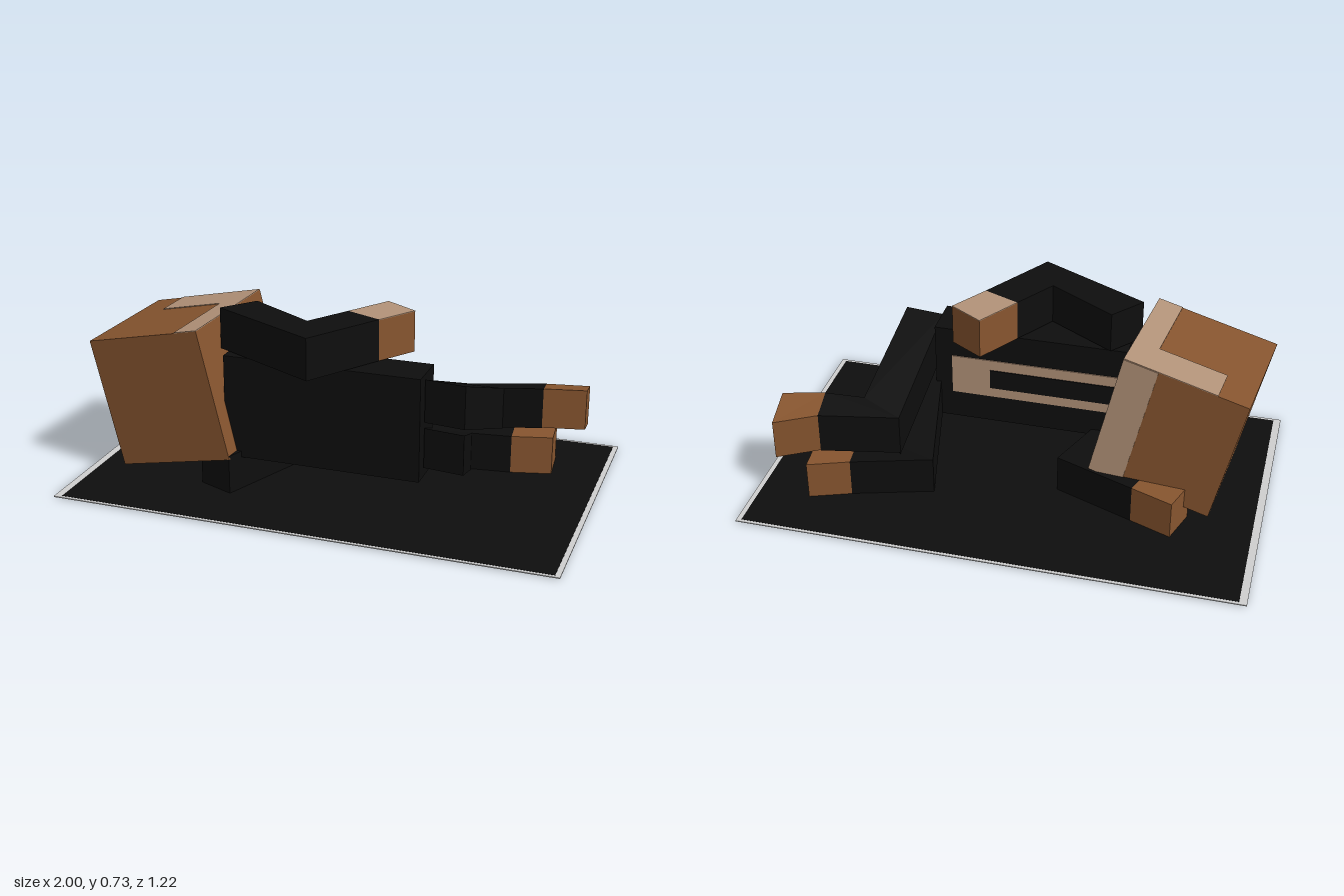
import * as THREE from 'three';

const mat = (name, color, opts = {}) => {
  const m = new THREE.MeshStandardMaterial({ color, ...opts });
  m.name = name;
  return m;
};

// Prism standing under a top outline of [x, yTop, z] points, h thick
function slabGeometry(points, h) {
  const flat = (p) => new THREE.Vector2(p[0], -p[2]);
  const pts = THREE.ShapeUtils.area(points.map(flat)) < 0 ? [...points].reverse() : points;
  const pos = [];
  const put = (i, drop) => pos.push(pts[i][0], pts[i][1] - drop, pts[i][2]);
  for (const [a, b, c] of THREE.ShapeUtils.triangulateShape(pts.map(flat), [])) {
    put(a, 0); put(b, 0); put(c, 0);
    put(a, h); put(c, h); put(b, h);
  }
  for (let i = 0; i < pts.length; i++) {
    const j = (i + 1) % pts.length;
    put(i, h); put(j, h); put(j, 0);
    put(i, h); put(j, 0); put(i, 0);
  }
  const g = new THREE.BufferGeometry();
  g.setAttribute('position', new THREE.Float32BufferAttribute(pos, 3));
  g.computeVertexNormals();
  return g;
}

export function createModel() {
  const black = mat('black', 0x0e0e0e);
  const brown = mat('brown', 0x87552f);
  const tan = mat('tan', 0xb39379);
  const grey = mat('grey', 0xcfcfcf);
  const model = new THREE.Group();
  model.name = 'lyingFigure';

  const add = (parent, name, geometry, material) => {
    const m = new THREE.Mesh(geometry, material);
    m.name = name;
    parent.add(m);
    return m;
  };
  // Box given by its minimum and maximum corners
  const box = (parent, name, material, a, b) => {
    const m = add(parent, name, new THREE.BoxGeometry(b[0] - a[0], b[1] - a[1], b[2] - a[2]), material);
    m.position.set((a[0] + b[0]) / 2, (a[1] + b[1]) / 2, (a[2] + b[2]) / 2);
    return m;
  };
  const slab = (name, material, points, h) => add(model, name, slabGeometry(points, h), material);
  const level = (y, outline) => outline.map(([x, z]) => [x, y, z]);

  // Ground mat with a pale rim
  box(model, 'matRim', grey, [-1, 0.003, -0.61], [1, 0.007, 0.61]);
  box(model, 'matField', black, [-0.97, 0.002, -0.597], [0.98, 0.008, 0.597]);

  // Torso lying on its side, with a chest panel facing back
  box(model, 'torso', black, [-0.4, 0.14, 0.12], [0.39, 0.555, 0.295]);
  box(model, 'chestPanel', tan, [-0.4, 0.26, 0.116], [0.32, 0.432, 0.12]);
  box(model, 'chestPanelCentre', black, [-0.4, 0.303, 0.112], [0.16, 0.387, 0.116]);

  // Tilted head with thin lighter strips on its top and back
  const head = new THREE.Group();
  head.name = 'head';
  const X = new THREE.Vector3(0.97, 0.22, 0.1).normalize();
  const Z = new THREE.Vector3().crossVectors(X, new THREE.Vector3(-0.21, 0.975, 0.02)).normalize();
  const Y = new THREE.Vector3().crossVectors(Z, X);
  head.quaternion.setFromRotationMatrix(new THREE.Matrix4().makeBasis(X, Y, Z));
  head.position.set(-0.635, 0.365, 0.085);
  model.add(head);
  const [w, h, d] = [0.25, 0.265, 0.258];
  box(head, 'headBlock', brown, [-w, -h, -d], [w, h, d]);
  box(head, 'topStrip', tan, [0.15, h, -d], [w, h + 0.003, d]);
  box(head, 'topBackStrip', tan, [-0.125, h, -d], [0.15, h + 0.003, -0.1]);
  box(head, 'backStrip', tan, [0.11, -h, -d - 0.003], [w, h, -d]);

  // Upper arm, bent at a right angle across the front
  const upperHand = [[0.043, 0.107], [0.15, -0.062], [0.283, 0.02], [0.187, 0.168]];
  slab('upperArm', black, level(0.725, [
    [-0.436, 0.232], [-0.333, 0.105], [-0.062, 0.272], [0.043, 0.107], [0.187, 0.168], [0.005, 0.462],
  ]), 0.165);
  slab('upperHand', brown, level(0.722, upperHand), 0.162);
  slab('upperHandTop', tan, level(0.725, upperHand), 0.003);

  // Lower arm, resting on the ground with the hand behind the head
  slab('lowerArm', black, level(0.165, [
    [-0.545, -0.09], [-0.497, -0.23], [-0.175, -0.105], [-0.36, 0.36], [-0.505, 0.3], [-0.38, -0.02],
  ]), 0.163);
  slab('lowerHand', brown, level(0.165, [
    [-0.71, -0.15], [-0.663, -0.294], [-0.497, -0.23], [-0.545, -0.09],
  ]), 0.165);

  // Upper leg: thigh slopes down to the knee, shin turns towards the foot
  slab('upperThigh', black, [
    [0.395, 0.54, 0.25], [0.555, 0.54, 0.27], [0.595, 0.375, -0.18], [0.43, 0.35, -0.25],
  ], 0.172);
  slab('upperShin', black, [
    [0.43, 0.35, -0.25], [0.595, 0.375, -0.18], [0.75, 0.385, -0.2], [0.737, 0.36, -0.325],
  ], 0.167);
  slab('upperFoot', brown, [
    [0.75, 0.385, -0.2], [0.915, 0.383, -0.24], [0.9, 0.345, -0.395], [0.737, 0.36, -0.325],
  ], 0.165);

  // Lower leg: same bend, lying on the mat
  slab('lowerThigh', black, [
    [0.395, 0.345, 0.25], [0.555, 0.345, 0.27], [0.47, 0.165, -0.18], [0.3, 0.165, -0.24],
  ], 0.162);
  slab('lowerShin', black, level(0.165, [
    [0.3, -0.24], [0.47, -0.18], [0.63, -0.2], [0.615, -0.335],
  ]), 0.162);
  slab('lowerFoot', brown, level(0.165, [
    [0.63, -0.2], [0.79, -0.24], [0.775, -0.395], [0.615, -0.335],
  ]), 0.16);

  return model;
}
